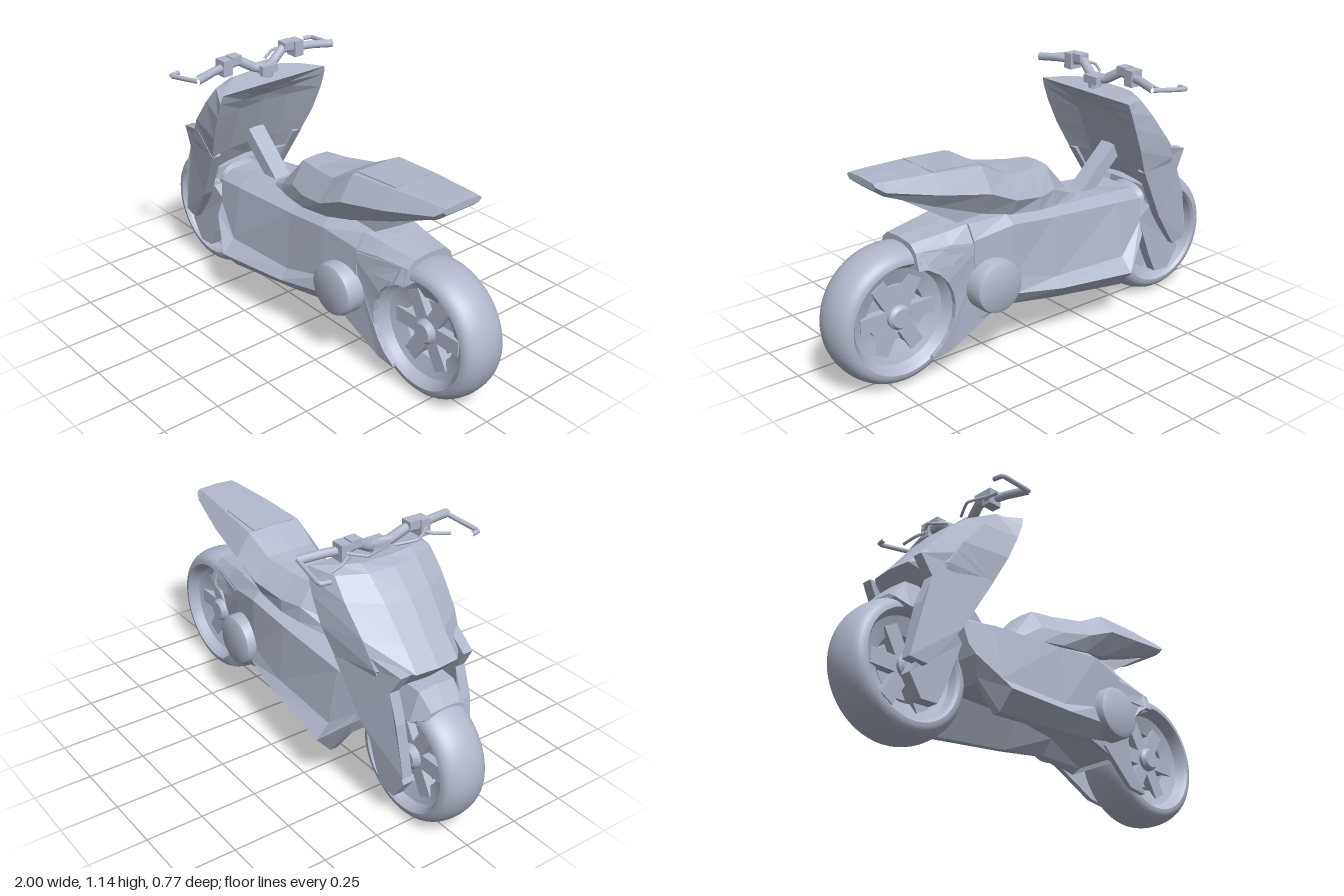
import * as THREE from 'three';
import { toCreasedNormals } from 'three/addons/utils/BufferGeometryUtils.js';

const bodyGrey = new THREE.MeshStandardMaterial({ color: 0xb1b8cb });
bodyGrey.name = 'bodyGrey';

function faceted(triangles) {
  const g = new THREE.BufferGeometry();
  g.setAttribute('position', new THREE.Float32BufferAttribute(triangles.flat(), 3));
  g.computeVertexNormals();
  return g;
}

// Closed hull through half rings of [x, y, z], mirrored across z = 0
function loft(stations) {
  const rings = stations.map(h => [...h, ...h.slice(1, -1).reverse().map(([x, y, z]) => [x, y, -z])]);
  const n = rings[0].length, tris = [];
  for (let s = 0; s < rings.length - 1; s++) {
    for (let i = 0; i < n; i++) {
      const j = (i + 1) % n, a = rings[s], b = rings[s + 1];
      tris.push(a[i], a[j], b[i], a[j], b[j], b[i]);
    }
  }
  // End caps are strips between the two mirrored halves
  const m = stations[0].length;
  const cap = (r, flip) => {
    for (let i = 0; i < m - 1; i++) {
      const p = r[i], q = r[i + 1], p2 = r[(n - i) % n], q2 = r[(n - i - 1) % n];
      if (flip) tris.push(p, q2, q, p, p2, q2);
      else tris.push(p, q, q2, p, q2, p2);
    }
  };
  cap(rings[0], true);
  cap(rings[rings.length - 1], false);
  return faceted(tris);
}

// Half ring in a constant-x plane from [y, z] pairs
const at = (x, ...yz) => yz.map(([y, z]) => [x, y, z]);

// Plate from an outline of [x, y, outerZ], on side s = 1 or -1
function plate(outline, thickness, s = 1) {
  let pts = outline;
  const flat = p => p.map(([x, y]) => new THREE.Vector2(x, y));
  if (THREE.ShapeUtils.area(flat(pts)) < 0) pts = [...pts].reverse();
  const outer = pts.map(([x, y, z]) => [x, y, z * s]);
  const inner = pts.map(([x, y, z]) => [x, y, (z - thickness) * s]);
  const tris = [];
  const add = (a, b, c) => tris.push(...(s > 0 ? [a, b, c] : [a, c, b]));
  for (const [a, b, c] of THREE.ShapeUtils.triangulateShape(flat(pts), [])) {
    add(outer[a], outer[b], outer[c]);
    add(inner[a], inner[c], inner[b]);
  }
  pts.forEach((_, i) => {
    const j = (i + 1) % pts.length;
    add(outer[i], inner[i], inner[j]);
    add(outer[i], inner[j], outer[j]);
  });
  return faceted(tris);
}

// Revolved profile of [radius, z] pairs around the z axis
function turned(profile, crease, segments = 64) {
  const g = new THREE.LatheGeometry(profile.map(([r, h]) => new THREE.Vector2(r, h)), segments);
  return toCreasedNormals(g.rotateX(Math.PI / 2), crease);
}

function tube(points, r) {
  const curve = new THREE.CatmullRomCurve3(points.map(p => new THREE.Vector3(...p)), false, 'catmullrom', 0.2);
  return new THREE.TubeGeometry(curve, 16, r, 10);
}

export function createModel() {
  const model = new THREE.Group();
  const add = (name, geometry, parent = model) => {
    const mesh = new THREE.Mesh(geometry, bodyGrey);
    mesh.name = name;
    parent.add(mesh);
    return mesh;
  };

  // Wheels: round tyre, dished rim, six block spokes and a hub
  for (const [name, x, R] of [['frontWheel', -0.715, 0.285], ['rearWheel', 0.703, 0.295]]) {
    const wheel = new THREE.Group();
    wheel.name = name;
    wheel.position.set(x, R, 0);
    model.add(wheel);
    const tyre = [[R - 0.07, -0.092]];
    for (let i = 0; i <= 16; i++) {
      const a = (i / 16 - 0.5) * Math.PI;
      tyre.push([R - 0.06 + 0.06 * Math.pow(Math.max(0, Math.cos(a)), 0.85), 0.105 * Math.sin(a)]);
    }
    tyre.push([R - 0.07, 0.092]);
    add('tyre', turned(tyre, 0.7), wheel);
    add('rim', turned([[R - 0.07, 0.092], [0.205, 0.06], [0.135, 0.035], [0.135, -0.035],
      [0.205, -0.06], [R - 0.07, -0.092]], 0.3), wheel);
    add('hub', turned([[0, -0.085], [0.04, -0.085], [0.052, -0.07], [0.052, 0.07], [0.04, 0.085], [0, 0.085]], 0.3, 32), wheel);
    add('hubDisc', turned([[0, -0.02], [0.118, -0.02], [0.118, 0.02], [0, 0.02]], 0.3), wheel);
    for (let i = 0; i < 6; i++) {
      const a = i * Math.PI / 3;
      const spoke = add('spoke', new THREE.BoxGeometry(0.13, 0.066, 0.11), wheel);
      spoke.position.set(0.108 * Math.cos(a), 0.108 * Math.sin(a), 0);
      spoke.rotation.z = a;
    }
  }

  // Main body with flared running boards and a channel underneath
  add('body', loft([
    [[-0.40, 0.56, 0], [-0.52, 0.56, 0.10], [-0.53, 0.52, 0.15], [-0.51, 0.42, 0.17],
      [-0.50, 0.37, 0.20], [-0.46, 0.29, 0.17], [-0.455, 0.29, 0.15], [-0.41, 0.38, 0.08], [-0.40, 0.38, 0]],
    at(-0.37, [0.575, 0], [0.575, 0.11], [0.545, 0.17], [0.305, 0.21], [0.245, 0.27], [0.167, 0.20],
      [0.167, 0.165], [0.33, 0.08], [0.33, 0]),
    at(0, [0.60, 0], [0.60, 0.13], [0.575, 0.18], [0.315, 0.20], [0.27, 0.235], [0.205, 0.17],
      [0.205, 0.145], [0.33, 0.08], [0.33, 0]),
    at(0.22, [0.635, 0], [0.635, 0.14], [0.60, 0.185], [0.37, 0.185], [0.30, 0.20], [0.235, 0.15],
      [0.235, 0.13], [0.30, 0.08], [0.30, 0]),
    at(0.40, [0.63, 0], [0.63, 0.125], [0.57, 0.16], [0.40, 0.16], [0.27, 0.145], [0.19, 0.135],
      [0.19, 0.12], [0.21, 0.08], [0.21, 0]),
  ]));

  // Rear wheel arch
  add('rearFender', loft([
    at(0.39, [0.63, 0], [0.63, 0.115], [0.56, 0.155], [0.49, 0.155], [0.49, 0.12], [0.50, 0.09], [0.50, 0]),
    at(0.50, [0.62, 0], [0.615, 0.10], [0.57, 0.135], [0.49, 0.148], [0.49, 0.12], [0.535, 0.085], [0.54, 0]),
    at(0.65, [0.607, 0], [0.60, 0.08], [0.57, 0.115], [0.50, 0.138], [0.50, 0.118], [0.58, 0.08], [0.597, 0]),
  ]));

  // Seat and tail
  add('seat', loft([
    at(-0.23, [0.60, 0], [0.60, 0.05], [0.595, 0.07], [0.58, 0.08], [0.58, 0]),
    at(-0.17, [0.635, 0], [0.635, 0.05], [0.615, 0.085], [0.585, 0.095], [0.585, 0]),
    at(-0.05, [0.77, 0], [0.765, 0.065], [0.67, 0.125], [0.60, 0.13], [0.60, 0]),
    at(0.05, [0.77, 0], [0.77, 0.085], [0.67, 0.155], [0.61, 0.15], [0.61, 0]),
    at(0.20, [0.797, 0], [0.792, 0.115], [0.70, 0.185], [0.63, 0.15], [0.63, 0]),
    at(0.33, [0.865, 0], [0.86, 0.125], [0.76, 0.19], [0.66, 0.13], [0.66, 0]),
    at(0.55, [0.88, 0], [0.876, 0.11], [0.80, 0.16], [0.74, 0.115], [0.74, 0]),
    at(0.77, [0.89, 0], [0.886, 0.09], [0.85, 0.115], [0.83, 0.09], [0.83, 0]),
    at(0.806, [0.89, 0], [0.886, 0.085], [0.875, 0.10], [0.86, 0.085], [0.86, 0]),
  ]));
  const hatch = add('seatHatch', new THREE.BoxGeometry(0.22, 0.006, 0.2));
  hatch.position.set(0.44, 0.8705, 0);
  hatch.rotation.z = 0.068;
  add('tailBrace', plate([[0.22, 0.60, 0.083], [0.36, 0.59, 0.083], [0.68, 0.79, 0.07],
    [0.50, 0.77, 0.07], [0.25, 0.70, 0.083]], 0.155));

  // Front cowl, stacked from bottom to top
  add('frontCowl', loft([
    [[-0.69, 0.60, 0], [-0.68, 0.60, 0.09], [-0.66, 0.61, 0.18], [-0.50, 0.60, 0.215], [-0.53, 0.60, 0.12], [-0.55, 0.60, 0]],
    [[-0.78, 0.70, 0], [-0.77, 0.70, 0.10], [-0.66, 0.70, 0.21], [-0.455, 0.68, 0.245], [-0.49, 0.68, 0.13], [-0.50, 0.68, 0]],
    [[-0.70, 0.79, 0], [-0.69, 0.79, 0.10], [-0.60, 0.81, 0.225], [-0.40, 0.80, 0.272], [-0.44, 0.80, 0.13], [-0.45, 0.80, 0]],
    [[-0.60, 0.92, 0], [-0.585, 0.92, 0.11], [-0.50, 0.93, 0.235], [-0.355, 0.91, 0.28], [-0.40, 0.90, 0.13], [-0.41, 0.90, 0]],
    [[-0.50, 1.01, 0], [-0.49, 1.01, 0.115], [-0.43, 1.01, 0.23], [-0.33, 0.98, 0.28], [-0.37, 0.95, 0.13], [-0.39, 0.94, 0]],
    [[-0.44, 1.03, 0], [-0.44, 1.035, 0.12], [-0.39, 1.03, 0.2], [-0.318, 1.02, 0.273], [-0.35, 0.98, 0.10], [-0.37, 0.965, 0]],
  ]));

  // Front mudguard between the blades
  add('frontFender', loft([
    at(-0.83, [0.555, 0], [0.55, 0.07], [0.53, 0.10], [0.525, 0.095], [0.54, 0]),
    at(-0.77, [0.625, 0], [0.62, 0.085], [0.50, 0.125], [0.49, 0.10], [0.57, 0]),
    at(-0.60, [0.63, 0], [0.63, 0.09], [0.49, 0.13], [0.48, 0.11], [0.55, 0]),
  ]));

  // Steering column between cowl and body
  const column = add('steeringColumn', new THREE.BoxGeometry(0.34, 0.06, 0.08));
  column.position.set(-0.41, 0.665, 0);
  column.rotation.z = -0.75;

  for (const s of [1, -1]) {
    // Shield blades reaching down past the front wheel
    add('shieldBlade', plate([[-0.77, 0.71, 0.175], [-0.72, 0.625, 0.185], [-0.765, 0.50, 0.185],
      [-0.80, 0.27, 0.17], [-0.72, 0.26, 0.18], [-0.585, 0.44, 0.215], [-0.455, 0.68, 0.248],
      [-0.60, 0.76, 0.225]], 0.045, s));
    // Fork legs
    add('forkLeg', plate([[-0.78, 0.22, 0.15], [-0.72, 0.13, 0.15], [-0.64, 0.135, 0.15],
      [-0.60, 0.22, 0.15], [-0.525, 0.42, 0.15], [-0.58, 0.47, 0.16], [-0.66, 0.45, 0.16]], 0.05, s));
    // Swingarm sides cut around the rear rim
    const side = [[0.30, 0.23, 0.155], [0.36, 0.55, 0.165], [0.62, 0.57, 0.12], [0.64, 0.51, 0.138]];
    for (let i = 0; i <= 8; i++) {
      const a = (115 + i * 15.5) * Math.PI / 180;
      side.push([0.703 + 0.223 * Math.cos(a), 0.295 + 0.223 * Math.sin(a), 0.147 - 0.0025 * i]);
    }
    side.push([0.59, 0.09, 0.125], [0.50, 0.10, 0.125]);
    add('swingarm', plate(side, 0.022, s));
    // Round motor covers
    const cover = add('motorCover', turned([[0, -0.06], [0.115, -0.06], [0.115, 0.03], [0.108, 0.047], [0.09, 0.056], [0, 0.058]], 0.6, 48));
    cover.position.set(0.318, 0.365, s * 0.177);
    if (s < 0) cover.rotation.y = Math.PI;

    // Handlebar, grip, switches, brake lever and bar end
    add('handlebarArm', tube([[-0.38, 1.06, 0], [-0.40, 1.07, s * 0.05], [-0.42, 1.11, s * 0.12], [-0.42, 1.10, s * 0.19]], 0.021));
    add('grip', tube([[-0.42, 1.10, s * 0.18], [-0.40, 1.10, s * 0.26], [-0.375, 1.09, s * 0.36]], 0.018));
    add('barEnd', tube([[-0.37, 1.09, s * 0.355], [-0.45, 1.08, s * 0.367], [-0.54, 1.07, s * 0.378], [-0.55, 1.07, s * 0.335]], 0.01));
    add('brakeLever', tube([[-0.44, 1.09, s * 0.17], [-0.47, 1.075, s * 0.22], [-0.48, 1.06, s * 0.29]], 0.007));
    add('clutchCable', tube([[-0.45, 1.10, s * 0.19], [-0.49, 1.085, s * 0.12], [-0.45, 1.07, s * 0.04]], 0.006));
    add('switchBox', new THREE.BoxGeometry(0.06, 0.07, 0.045)).position.set(-0.42, 1.1, s * 0.19);
    add('barClamp', new THREE.BoxGeometry(0.05, 0.035, 0.05)).position.set(-0.42, 1.122, s * 0.14);
  }
  add('steeringStem', new THREE.CylinderGeometry(0.028, 0.028, 0.08, 20)).position.set(-0.38, 1.025, 0);
  add('stemClamp', new THREE.BoxGeometry(0.07, 0.035, 0.08)).position.set(-0.385, 1.062, 0);
  return model;
}
